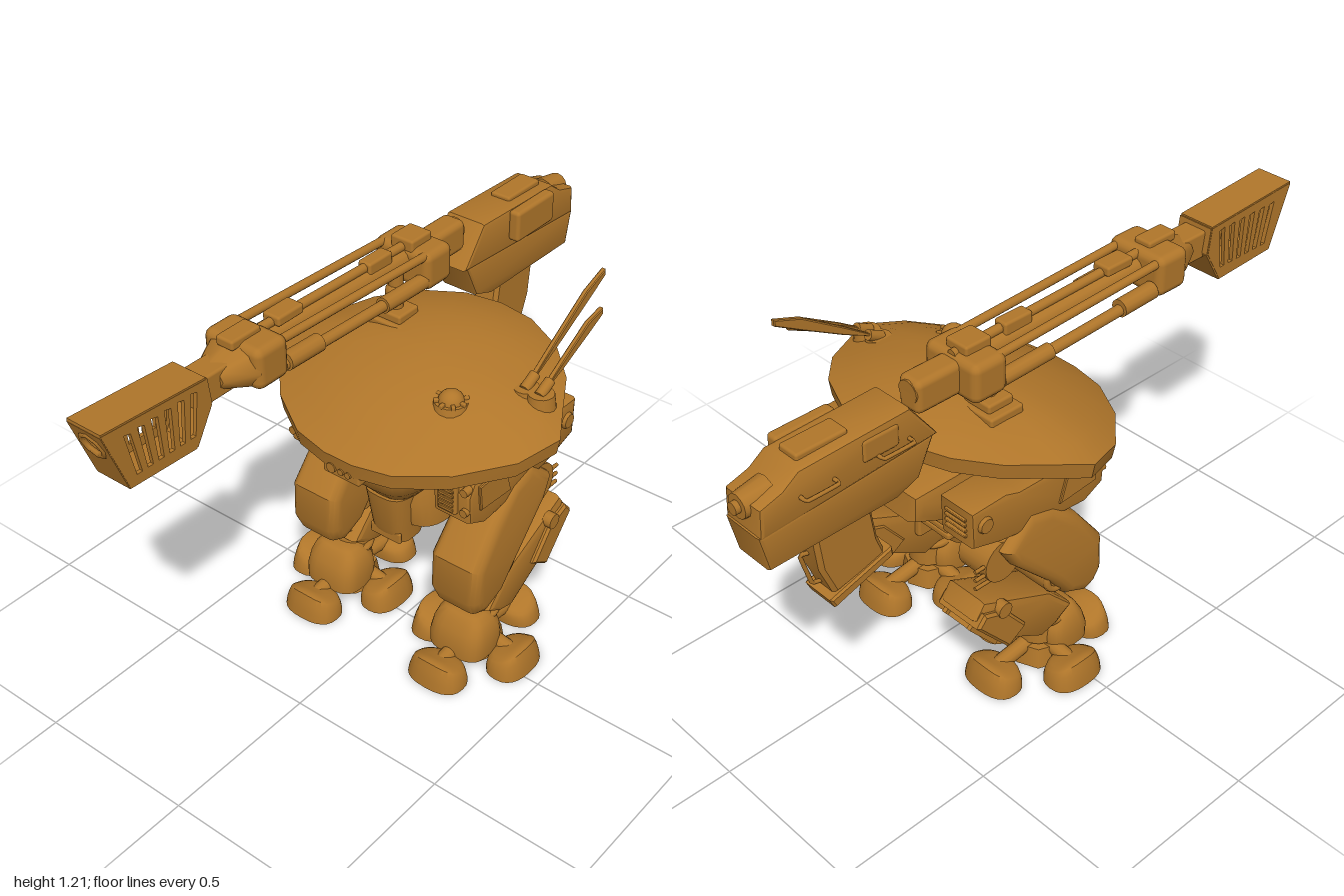
import * as THREE from 'three';
import { toCreasedNormals } from 'three/addons/utils/BufferGeometryUtils.js';
import { RoundedBoxGeometry } from 'three/addons/geometries/RoundedBoxGeometry.js';

const bronze = new THREE.MeshStandardMaterial({ color: 0xb0762a });
bronze.name = 'bronze';

export function createModel() {
  const model = new THREE.Group();
  model.name = 'walker';
  const V = (x, y, z) => new THREE.Vector3(x, y, z);

  function add(name, geo, x = 0, y = 0, z = 0) {
    const m = new THREE.Mesh(geo, bronze);
    m.name = name;
    m.position.set(x, y, z);
    model.add(m);
    return m;
  }
  const box = (name, w, h, d, x, y, z, r = 0.008) =>
    add(name, new RoundedBoxGeometry(w, h, d, 2, Math.min(r, w / 3, h / 3, d / 3)), x, y, z);

  // Side silhouette given as [z, y] points, extruded across x; widen scales the width by height
  function prism(name, pts, width, x, bevel = 0.01, { holes = [], segs = 1, widen = null } = {}) {
    const toV = ([z, y]) => new THREE.Vector2(-z, y);
    const shape = new THREE.Shape(pts.map(toV));
    shape.holes = holes.map(h => new THREE.Path(h.map(toV)));
    const geo = new THREE.ExtrudeGeometry(shape, {
      depth: width - 2 * bevel, bevelEnabled: bevel > 0, bevelSize: bevel,
      bevelThickness: bevel, bevelOffset: -bevel, bevelSegments: segs,
    });
    geo.translate(0, 0, bevel - width / 2).rotateY(Math.PI / 2);
    const p = geo.attributes.position;
    if (widen) for (let i = 0; i < p.count; i++) p.setX(i, p.getX(i) * widen(p.getY(i)));
    return add(name, toCreasedNormals(geo, 0.6), x);
  }

  // Round bar between two points
  function rod(name, a, b, r, r2 = r, sides = 12) {
    const m = add(name, new THREE.CylinderGeometry(r2, r, a.distanceTo(b), sides));
    m.position.copy(a).add(b).multiplyScalar(0.5);
    m.quaternion.setFromUnitVectors(V(0, 1, 0), b.clone().sub(a).normalize());
    return m;
  }

  // Flat plate between two [z, y] points
  function slab(name, [z0, y0], [z1, y1], width, t, x) {
    const m = add(name, new THREE.BoxGeometry(width, t, Math.hypot(z1 - z0, y1 - y0)),
      x, (y0 + y1) / 2, (z0 + z1) / 2);
    m.rotation.x = -Math.atan2(y1 - y0, z1 - z0);
    return m;
  }

  // Skin over stacked rings of points, closed at both ends
  function loft(name, rings, crease = 0.6) {
    const n = rings[0].length, pos = [], idx = [];
    rings.forEach(r => r.forEach(p => pos.push(p.x, p.y, p.z)));
    for (let i = 0; i < rings.length - 1; i++) for (let j = 0; j < n; j++) {
      const a = i * n + j, c = i * n + (j + 1) % n;
      idx.push(a, a + n, c, c, a + n, c + n);
    }
    [rings[0], rings[rings.length - 1]].forEach((r, k) => {
      const mid = r.reduce((s, p) => s.add(p), V(0, 0, 0)).divideScalar(n);
      const m = pos.length / 3, o = k * (rings.length - 1) * n;
      pos.push(mid.x, mid.y, mid.z);
      for (let j = 0; j < n; j++) {
        const p = o + j, q = o + (j + 1) % n;
        idx.push(m, k ? q : p, k ? p : q);
      }
    });
    const g = new THREE.BufferGeometry();
    g.setAttribute('position', new THREE.Float32BufferAttribute(pos, 3));
    g.setIndex(idx);
    return add(name, toCreasedNormals(g, crease));
  }
  // Rounded-square ring: height, half width, back and front z
  const ring = ([y, hw, z0, z1]) => Array.from({ length: 28 }, (_, i) => {
    const a = i / 28 * Math.PI * 2, c = Math.cos(a), s = Math.sin(a);
    const sq = v => Math.sign(v) * Math.pow(Math.abs(v), 0.6);
    return V(hw * sq(c), y, (z0 + z1) / 2 + (z1 - z0) / 2 * sq(s));
  });

  // Tilted domed shell, hollow beneath
  const half = [[0, -.45], [.12, -.435], [.25, -.375], [.35, -.28], [.42, -.16], [.475, -.07],
    [.43, .06], [.31, .19], [.17, .275], [.05, .3]];
  const outline = [...half, ...half.slice(1).reverse().map(([x, z]) => [-x, z])];
  const tilt = z => 0.828 - 0.185 * (z + 0.07);
  const shellRing = (s, lift) => outline.map(([x, z]) => {
    const zz = -0.09 + (z + 0.09) * s;
    return V(x * s, tilt(zz) + lift, zz);
  });
  const dome = [1, .85, .65, .45, .25, .08].map(s => shellRing(s, 0.025 + 0.1 * (1 - s ** 2.1)));
  loft('shell', [shellRing(.3, .05), shellRing(.6, .035), shellRing(.9, 0), shellRing(.93, -.025), shellRing(.98, -.025), ...dome], 0.5);

  // Hatch, small dome and antennas on the shell
  rod('hatchRing', V(.18, .88, .03), V(.18, .91, .03), .055, .048, 16);
  add('hatchDome', new THREE.SphereGeometry(.038, 16, 8, 0, Math.PI * 2, 0, Math.PI / 2), .18, .905, .03);
  for (let i = 0; i < 4; i++) {
    const bar = box('hatchRib', .012, .012, .1, .18, .913, .03, .003);
    bar.rotation.y = i * Math.PI / 4;
  }
  [[.31, 1.13, -.5], [.36, 1.06, -.42]].forEach(([x, y, z]) => {
    rod('antennaBase', V(x, .87, -.14), V(x, .92, -.14), .045, .038, 16);
    rod('antennaSocket', V(x, .915, -.13), V(x, .94, -.18), .016);
    const dy = y - .925, dz = z + .14;
    prism('antennaBlade', [[-.14, .92], [-.14 + dz * .35, .908 + dy * .35], [-.14 + dz * .75, .905 + dy * .75],
      [z, y - .02], [z, y], [-.14 + dz * .75, .945 + dy * .75], [-.14 + dz * .35, .935 + dy * .35]], .016, x, .003);
  });
  rod('neckRing', V(0, .74, -.1), V(0, .87, -.1), .13, .13, 24);

  // Torso, chin sensor, rear engine and pelvis
  loft('torso', [[.535, .05, -.1, .08], [.55, .085, -.17, .12], [.6, .125, -.26, .165],
    [.66, .155, -.3, .195], [.7, .166, -.3, .19], [.76, .168, -.3, .12]].map(ring));
  box('chinSensor', .13, .055, .08, 0, .735, .25);
  [-.03, .005, .03].forEach((x, i) => rod('sensorLens', V(x, .737, .28), V(x, .737, .298), i ? .01 : .016));
  prism('rearEngine', [[-.15, .77], [-.44, .768], [-.445, .68], [-.3, .61], [-.15, .6]], .36, 0, .03, { segs: 2 });
  rod('rearPort', V(0, .71, -.42), V(0, .71, -.455), .04, .034, 16);
  loft('pelvis', [[.41, .1, -.18, .03], [.43, .13, -.22, .06], [.52, .13, -.26, .08], [.6, .11, -.24, .06]].map(ring));
  loft('prow', [[.37, .058, -.02, .09], [.42, .062, -.05, .11], [.55, .078, -.08, .13]].map(ring));
  box('prowLip', .11, .035, .012, 0, .395, .095);
  for (let i = 0; i < 4; i++) box('rearRib', .26 - i * .02, .024, .08, 0, .6 - i * .04, -.26 + i * .015);

  for (const s of [-1, 1]) {
    // Shoulder pod with louvres, vents and side panel
    const sx = s * .265;
    prism('shoulderPod', [[.11, .745], [.135, .7], [.13, .61], [.06, .575], [-.13, .59], [-.27, .615], [-.37, .645],
      [-.375, .765], [-.25, .768], [-.2, .75]], .13, sx, .012, { segs: 2 });
    prism('shoulderPanel', [[.1, .725], [-.02, .73], [-.05, .63], [.09, .64]], .012, s * .332, .003);
    rod('shoulderBolt', V(s * .32, .71, -.33), V(s * .34, .71, -.33), .03, .022, 12);
    box('louvreFrame', .065, .11, .02, s * .255, .685, .135);
    for (let i = 0; i < 6; i++) box('louvre', .05, .009, .016, s * .255, .645 + i * .016, .142, .002);
    for (let i = 0; i < 4; i++) box('rearVent', .08, .009, .02, sx, .68 + i * .018, -.37, .002);
    box('shoulderBridge', .12, .1, .2, s * .18, .69, -.1);
    for (const y of [.65, .72]) rod('shoulderPort', V(s * .313, y, .11), V(s * .313, y, .145), .013);

    // Thigh, hip axle and rear pins
    prism('thigh', [[-.16, .655], [-.26, .565], [-.22, .5], [-.08, .36], [-.02, .28], [.06, .24], [.105, .26], [.128, .31],
      [.122, .43], [.03, .55], [-.07, .63]], .175, s * .266, .035,
    { segs: 4, widen: y => 1.02 - Math.max(0, y - .46) - Math.max(0, .33 - y) * 1.2 });
    rod('hipJoint', V(s * .2, .6, -.13), V(s * .31, .6, -.13), .08, .08, 20);
    rod('hipAxle', V(s * .1, .485, -.05), V(s * .22, .485, -.05), .018);
    rod('axleCollar', V(s * .15, .485, -.05), V(s * .17, .485, -.05), .035);
    box('innerPlate', .02, .12, .1, s * .185, .49, -.08);
    rod('thighDrum', V(s * .2, .52, -.24), V(s * .31, .52, -.24), .068, .068, 20);
    const exhaust = box('thighExhaust', .1, .05, .1, s * .26, .565, -.235);
    exhaust.rotation.x = -.75;
    for (let i = 0; i < 3; i++) rod('rearPin', V(s * .3, .47 + i * .03, -.24), V(s * .3, .47 + i * .03, -.34), .006, .006, 6);

    // Knee and shin
    rod('knee', V(s * .19, .36, -.04), V(s * .33, .36, -.04), .055, .055, 20);
    add('kneeRing', new THREE.TorusGeometry(.045, .012, 8, 20).rotateY(Math.PI / 2), s * .325, .36, -.04);
    prism('shin', [[-.33, .43], [-.365, .38], [-.26, .25], [-.1, .155], [-.04, .17], [.025, .21], [-.07, .31]],
      .15, s * .255, .018, { segs: 2 });
    prism('shinPanel', [[-.26, .37], [-.34, .4], [-.37, .365], [-.25, .225], [-.18, .27]], .17, s * .26, .008);
    rod('shinBolt', V(s * .32, .38, -.27), V(s * .35, .38, -.27), .025);
    // Raised window frame on the back of the shin
    for (const e of [-1, 1]) slab('shinFrameSide', [-.365, .36], [-.268, .245], .014, .03, s * .26 + e * .05);
    for (const [z, y] of [[-.355, .348], [-.278, .257]]) slab('shinFrameEnd', [z, y], [z + .012, y - .014], .1, .03, s * .26);
    box('shinSide', .03, .14, .08, s * .175, .33, -.1);

    // Ankle, hub and four toes
    const fx = s * .245, fz = -.03;
    rod('anklePost', V(fx, .09, fz), V(fx, .23, -.04), .065, .055, 16);
    add('ankleRing', new THREE.TorusGeometry(.066, .012, 8, 20).rotateX(Math.PI / 2), fx, .165, -.02);
    const cap = loft('ankleDome', [[.055, .096, -.05, .105], [.1, .098, -.06, .105], [.14, .092, -.055, .092],
      [.17, .08, -.035, .075], [.188, .062, -.01, .06]].map(ring), 1);
    cap.position.x = fx;
    rod('footHub', V(fx, .01, fz), V(fx, .075, fz), .09, .078, 8);
    for (let k = 0; k < 4; k++) {
      const a = k * Math.PI / 2, d = k % 2 ? .143 : .187;
      const dx = Math.sin(a), dz = Math.cos(a);
      // Toe shell: broad rounded block, its top arched and rising outward
      const toeRing = (t, inset = 1) => Array.from({ length: 24 }, (_, i) => {
        const q = i / 24 * Math.PI * 2, r = (1 - .16 * t * t) * inset;
        const sq = v => Math.sign(v) * Math.pow(Math.abs(v), .8);
        const x = .094 * r * sq(Math.cos(q)), z = .064 * r * sq(Math.sin(q)) - .008 * t;
        return V(x, .006 + t * (.07 + z * .35 - 2.2 * x * x), z);
      });
      const toe = loft('toe', [toeRing(0), toeRing(.35), toeRing(.7), toeRing(1), toeRing(1.08, .85), toeRing(1.08, .4)], .9);
      toe.position.set(fx + dx * d, 0, fz + dz * d);
      toe.rotation.y = a;
      rod('toeLink', V(fx + dx * .04, .07, fz + dz * .04), V(fx + dx * d, .05, fz + dz * d), .025);
    }
  }

  // Slotted hollow muzzle
  const gx = -.175;
  const muzzle = [[1, 1.2], [.65, 1.18], [.64, 1.1], [.7, 1.0], [.93, 1.01]];
  const slots = Array.from({ length: 6 }, (_, i) => {
    const t = .92 - .045 * i, b = .895 - .037 * i;
    return [[t - .011, 1.16], [t + .011, 1.165], [b + .009, 1.035], [b - .009, 1.035]];
  });
  for (const s of [-1, 1]) prism('muzzleSide', muzzle, .012, gx + s * .053, 0, { holes: slots });
  for (let i = 0; i < 4; i++) slab('muzzleWall', muzzle[i], muzzle[i + 1], .116, .01, gx);
  const face = new THREE.Shape([[-.058, -.1], [.058, -.1], [.058, .1], [-.058, .1]].map(p => new THREE.Vector2(...p)));
  face.holes = [new THREE.Path().absarc(0, .035, .036, 0, Math.PI * 2, true)];
  const front = add('muzzleFace', new THREE.ExtrudeGeometry(face, { depth: .01, bevelEnabled: false, curveSegments: 8 }), gx, 1.105, .957);
  front.rotation.x = .353;
  const lip = add('muzzleLip', new THREE.TorusGeometry(.038, .008, 6, 8), gx, 1.14, .978);
  lip.rotation.x = .353;

  // Front collar and barrels
  box('muzzleNeck', .08, .085, .14, gx, 1.125, .6);
  const collar = add('frontCollar', new THREE.CylinderGeometry(.05, .1, .09, 8).rotateX(Math.PI / 2), gx, 1.13, .54);
  collar.scale.y = .68;
  box('collarBlock', .2, .125, .12, gx, 1.135, .445, .025);
  box('collarTop', .06, .03, .11, gx, 1.198, .47);
  rod('barrel', V(gx, 1.14, .42), V(gx, 1.115, -.45), .034, .034, 16);
  for (const dx of [-.075, .075]) {
    rod('upperRail', V(gx + dx, 1.175, .4), V(gx + dx, 1.15, -.25), .013);
    rod('lowerRail', V(gx + dx, 1.095, .4), V(gx + dx, 1.07, -.25), .017);
    rod('railSleeve', V(gx + dx, 1.1, .38), V(gx + dx, 1.095, .25), .027);
    rod('rearSleeve', V(gx + dx, 1.08, -.02), V(gx + dx, 1.075, -.2), .024);
  }
  rod('topRail', V(gx, 1.18, .42), V(gx, 1.16, -.3), .014);
  box('railClamp', .06, .03, .1, gx, 1.185, .3);
  box('railPlate', .045, .07, .1, gx, 1.15, -.08);
  box('midBlock', .2, .12, .12, gx, 1.105, -.25, .025);
  box('midCap', .08, .04, .09, gx, 1.17, -.24);
  box('midNeck', .08, .1, .16, gx, 1.105, -.37, .02);

  // Swivel mount
  box('mountBase', .15, .03, .12, gx, .94, -.17);
  box('mountPlate', .1, .03, .09, gx, .965, -.17);
  rod('mountPost', V(gx, .95, -.17), V(gx, 1.1, -.17), .022);
  add('mountJoint', new THREE.SphereGeometry(.032, 16, 10), gx, 1.03, -.17);

  // Receiver, tail and grip
  prism('receiverTop', [[-.41, 1.005], [-.5, 1.125], [-.85, 1.115], [-.9, 1.08], [-.97, 1.06], [-.975, .97]], .14, gx, .012, { segs: 2 });
  prism('receiverBottom', [[-.42, 1.012], [-.98, .98], [-.955, .865], [-.55, .868], [-.475, .895]], .136, gx, .012, { segs: 2 });
  box('receiverCover', .07, .025, .16, gx, 1.12, -.75);
  box('sidePod', .04, .1, .19, -.09, 1.07, -.72, .012);
  box('sidePod', .04, .07, .12, -.23, 1.07, -.6, .012);
  rod('tailKnob', V(gx, 1.045, -.9), V(gx, 1.045, -.985), .048, .035, 12);
  rod('tailTip', V(gx, 1.045, -.97), V(gx, 1.045, -1), .018);
  const loop = (name, pts) => add(name, new THREE.TubeGeometry(
    new THREE.CatmullRomCurve3(pts.map(p => V(...p)), false, 'catmullrom', .1), 20, .006, 6));
  for (const z of [-.8, -.56]) loop('sideHandle', [[-.22, 1.04, z - .05], [-.268, 1.04, z - .05], [-.268, 1.04, z + .05], [-.22, 1.04, z + .05]]);
  box('gripCollar', .11, .1, .2, gx, .93, -.71);
  prism('grip', [[-.62, .89], [-.6, .76], [-.575, .69], [-.75, .65], [-.79, .75], [-.805, .88]], .09, gx, .012);
  prism('gripFoot', [[-.565, .71], [-.56, .68], [-.76, .618], [-.775, .65]], .11, gx, .006);
  loop('gripHandle', [[gx, .79, -.79], [gx, .795, -.82], [gx, .69, -.79], [gx, .68, -.76]]);
  return model;
}
